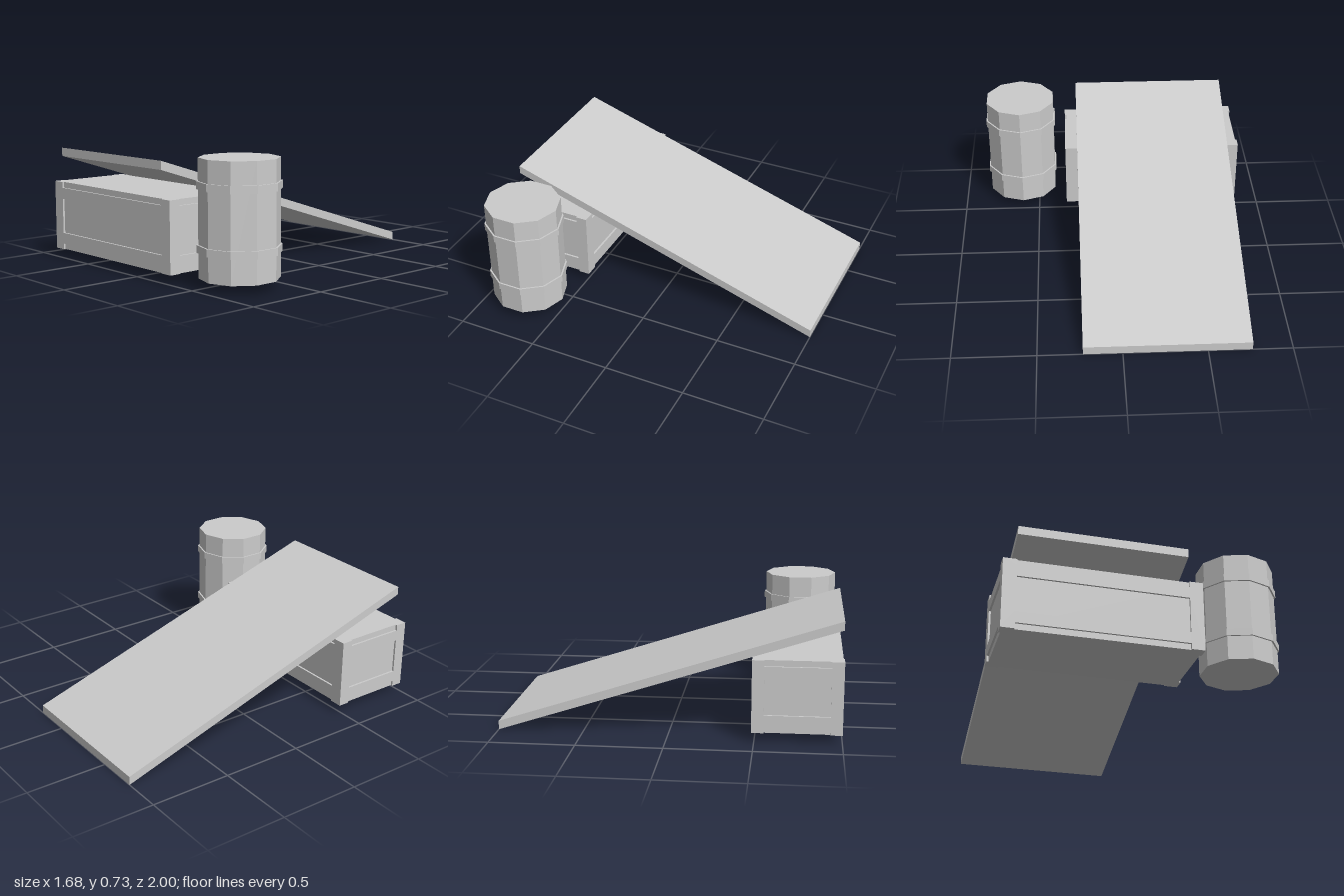
import * as THREE from 'three';

const grey = new THREE.MeshStandardMaterial({ color: 0xcccccc, flatShading: true });
grey.name = 'plain grey';

function add(parent, name, geometry, x = 0, y = 0, z = 0) {
  const mesh = new THREE.Mesh(geometry, grey);
  mesh.name = name;
  mesh.position.set(x, y, z);
  parent.add(mesh);
  return mesh;
}

// Crate side plate: notched along the top and bottom, with a panel opening
function framePlate(width, height, post, depth) {
  const w = width / 2, h = height / 2, n = w - post, notch = 0.036;
  const shape = new THREE.Shape([
    [-w, -h], [-n, -h], [-n, -h + notch], [n, -h + notch], [n, -h], [w, -h],
    [w, h], [n, h], [n, h - notch], [-n, h - notch], [-n, h], [-w, h],
  ].map(([x, y]) => new THREE.Vector2(x, y)));
  const p = 0.108;
  shape.holes.push(new THREE.Path([[-n, -p], [-n, p], [n, p], [n, -p]]
    .map(([x, y]) => new THREE.Vector2(x, y))));
  return new THREE.ExtrudeGeometry(shape, { depth, bevelEnabled: false });
}

function makeCrate() {
  const crate = new THREE.Group();
  crate.name = 'crate';
  const W = 1.152, H = 0.426, D = 0.516, t = 0.012;
  add(crate, 'crateCore', new THREE.BoxGeometry(W - 2 * t, H, D - 2 * t));
  const longPlate = framePlate(W, H, 0.08, t);
  const shortPlate = framePlate(D - 2 * t, H, 0.07 - t, t);
  for (const s of [1, -1]) {
    const long = add(crate, s > 0 ? 'crateFrontFrame' : 'crateBackFrame', longPlate, 0, 0, s * (D / 2 - t));
    long.rotation.y = s > 0 ? 0 : Math.PI;
    const short = add(crate, s > 0 ? 'crateLeftFrame' : 'crateRightFrame', shortPlate, s * (W / 2 - t), 0, 0);
    short.rotation.y = s * Math.PI / 2;
  }
  crate.position.set(-0.264, 0.268, 0.742);
  return crate;
}

function makeBarrel() {
  const barrel = new THREE.Group();
  barrel.name = 'barrel';
  add(barrel, 'barrelBody', new THREE.CylinderGeometry(0.23, 0.23, 0.675, 10), 0, 0.392, 0);
  for (const y of [0.222, 0.577]) {
    add(barrel, 'barrelHoop', new THREE.CylinderGeometry(0.24, 0.24, 0.044, 10), 0, y, 0);
  }
  barrel.position.set(0.607, 0, 0.742);
  return barrel;
}

// Sloping plank with upright ends: a box sheared along z
function makePlank() {
  const length = 1.995;
  const geometry = new THREE.BoxGeometry(0.994, 0.052, length);
  const p = geometry.attributes.position;
  for (let i = 0; i < p.count; i++) {
    p.setY(i, p.getY(i) + 0.026 + 0.323 * (p.getZ(i) + length / 2));
  }
  geometry.computeVertexNormals();
  return geometry;
}

export function createModel() {
  const model = new THREE.Group();
  model.name = 'rampWithCrateAndBarrel';
  model.add(makeCrate(), makeBarrel());
  add(model, 'rampPlank', makePlank(), -0.264, 0, -0.0025);
  return model;
}
